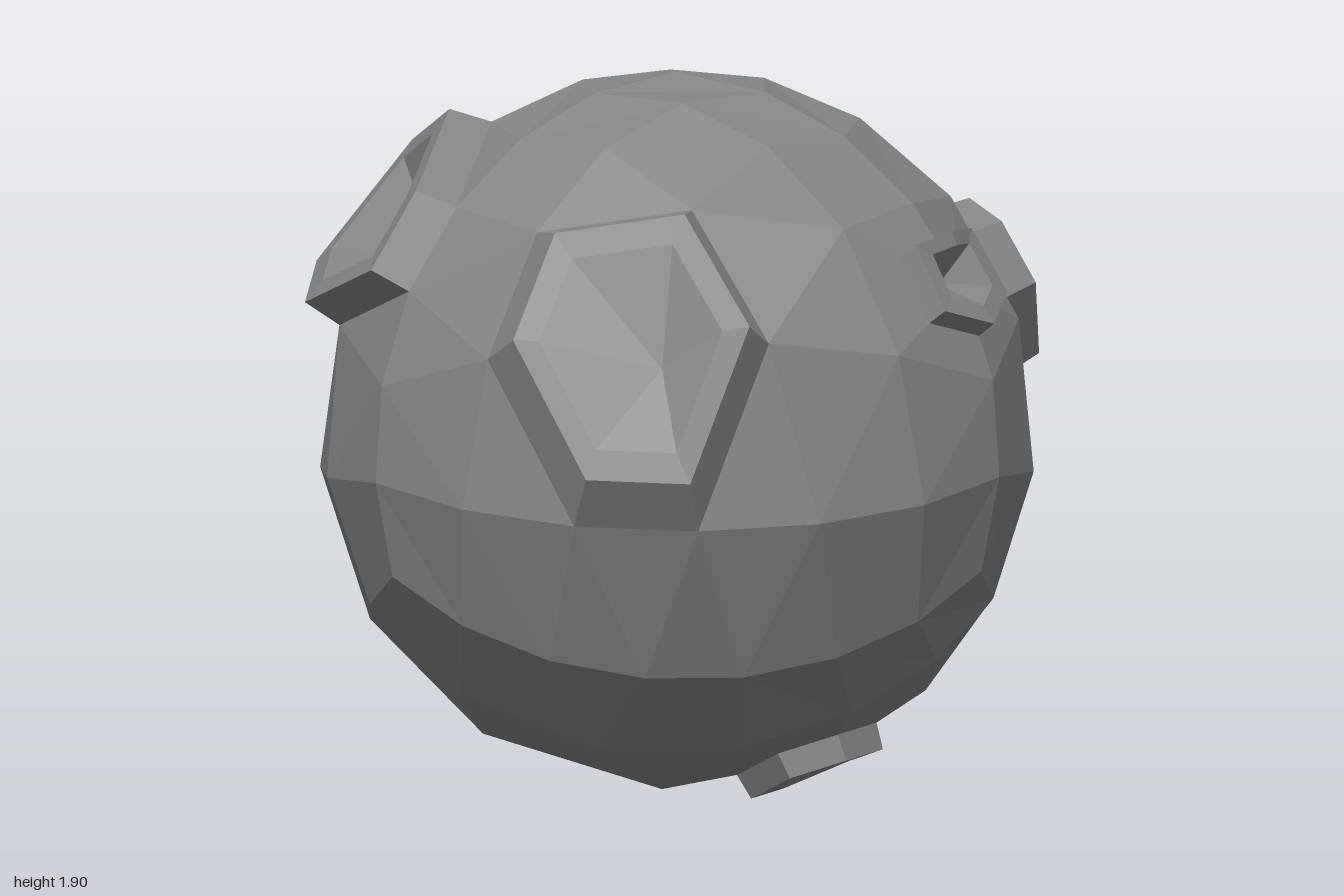
import * as THREE from 'three';

const RADIUS = 0.949;
const ROWS = 7; // subdivisions along each tetrahedron edge
const CENTRE = new THREE.Vector3(0, 0.951, 0.02);

// aim: rough direction of the crater; base, rim, hole: scales of the ring of
// vertices around it; lift: offset of the rim from the base; sink: pit from rim
const CRATERS = [
  { name: 'frontCrater', aim: [0.27, 0.36, 0.89], base: 1, rim: 0.84, hole: 0.65, lift: [0.05, 0.07, 0.08], sink: [0.075, -0.06, -0.04] },
  { name: 'upperRightCrater', aim: [-0.66, 0.61, 0.43], base: 1, rim: 0.95, hole: 0.72, lift: [-0.085, 0.05, 0.055], sink: [0.13, -0.12, -0.085] },
  { name: 'backCrater', aim: [-0.49, 0.2, -0.85], base: 1, rim: 0.97, hole: 0.73, lift: [-0.07, 0.005, -0.11], sink: [0.1, -0.03, 0.17] },
  { name: 'leftSmallCrater', aim: [0.89, 0.46, 0], base: 0.53, rim: 0.52, hole: 0.34, lift: [0.045, 0.033, 0], sink: [-0.076, -0.039, 0] },
  { name: 'backLeftSmallCrater', aim: [0.62, 0.36, -0.7], base: 0.53, rim: 0.5, hole: 0.33, lift: [0.055, 0.033, -0.082], sink: [-0.062, -0.036, 0.07] },
  { name: 'bottomSmallCrater', aim: [0.44, -0.9, 0], base: 0.53, rim: 0.5, hole: 0.33, lift: [0.03, -0.065, 0], sink: [-0.037, 0.077, 0] },
];

// Point on the great circle from a to b (unit vectors)
function slerp(a, b, t) {
  const angle = a.angleTo(b);
  if (angle < 1e-6) return a.clone();
  return a.clone().multiplyScalar(Math.sin((1 - t) * angle))
    .addScaledVector(b, Math.sin(t * angle)).divideScalar(Math.sin(angle));
}

// Outward triangles of one spherical face, in rows from its apex
function faceTriangles(apex, left, right) {
  const grid = [];
  for (let i = 0; i <= ROWS; i++) {
    const a = slerp(apex, left, i / ROWS), b = slerp(apex, right, i / ROWS);
    grid.push([]);
    for (let j = 0; j <= i; j++) grid[i].push(slerp(a, b, i ? j / i : 0).multiplyScalar(RADIUS));
  }
  const tris = [];
  for (let i = 0; i < ROWS; i++) {
    for (let j = 0; j <= i; j++) {
      tris.push([grid[i][j], grid[i + 1][j], grid[i + 1][j + 1]]);
      if (j < i) tris.push([grid[i][j], grid[i + 1][j + 1], grid[i][j + 1]]);
    }
  }
  return tris.map(([a, b, c]) => {
    const normal = b.clone().sub(a).cross(c.clone().sub(a));
    return normal.dot(a) > 0 ? [a, b, c] : [a, c, b];
  });
}

function meshFrom(name, tris, material) {
  const geometry = new THREE.BufferGeometry().setFromPoints(tris.flat());
  geometry.computeVertexNormals();
  const mesh = new THREE.Mesh(geometry, material);
  mesh.name = name;
  return mesh;
}

// Raised rim and pit, one sector per triangle [v, a, b] around the vertex v
function craterTriangles(v, sectors, { base, rim, hole, lift, sink }) {
  const mean = new THREE.Vector3();
  sectors.forEach(([, a, b]) => mean.add(a).add(b));
  mean.divideScalar(sectors.length * 2);
  const foot = v.clone().lerp(mean, base);
  const top = new THREE.Vector3(...lift).add(foot);
  const pit = new THREE.Vector3(...sink).add(top);
  const place = (p, scale, middle) => p.clone().sub(mean).multiplyScalar(scale).add(middle);
  const tris = [];
  for (const [, a, b] of sectors) {
    const [la, lb] = [a, b].map((p) => [p, place(p, base, foot), place(p, rim, top), place(p, hole, top)]);
    for (let k = base < 1 ? 0 : 1; k < 3; k++) {
      tris.push([la[k], lb[k], lb[k + 1]], [la[k], lb[k + 1], la[k + 1]]);
    }
    tris.push([la[3], lb[3], pit]);
  }
  return tris;
}

export function createModel() {
  const group = new THREE.Group();
  group.name = 'crateredMoon';
  const material = new THREE.MeshStandardMaterial({ color: 0x868686, flatShading: true });

  // Tetrahedron corners: one on top, three around below
  const top = new THREE.Vector3(0, 1, 0);
  const corners = [0, 1, 2].map((k) => {
    const angle = (k * Math.PI * 2) / 3, r = Math.sqrt(8) / 3;
    return new THREE.Vector3(r * Math.cos(angle), -1 / 3, r * Math.sin(angle));
  });
  let body = faceTriangles(...corners);
  for (let k = 0; k < 3; k++) body.push(...faceTriangles(top, corners[k], corners[(k + 1) % 3]));

  // Each crater replaces the triangles around its nearest vertex
  const points = body.flat();
  for (const crater of CRATERS) {
    const aim = new THREE.Vector3(...crater.aim);
    const v = points.reduce((best, p) => (p.dot(aim) > best.dot(aim) ? p : best));
    const sectors = [], rest = [];
    for (const tri of body) {
      const k = tri.findIndex((p) => p.distanceTo(v) < 1e-4);
      if (k < 0) rest.push(tri);
      else sectors.push([tri[k], tri[(k + 1) % 3], tri[(k + 2) % 3]]);
    }
    body = rest;
    group.add(meshFrom(crater.name, craterTriangles(v, sectors, crater), material));
  }
  group.add(meshFrom('moonBody', body, material));
  group.children.forEach((mesh) => mesh.position.copy(CENTRE));
  return group;
}
